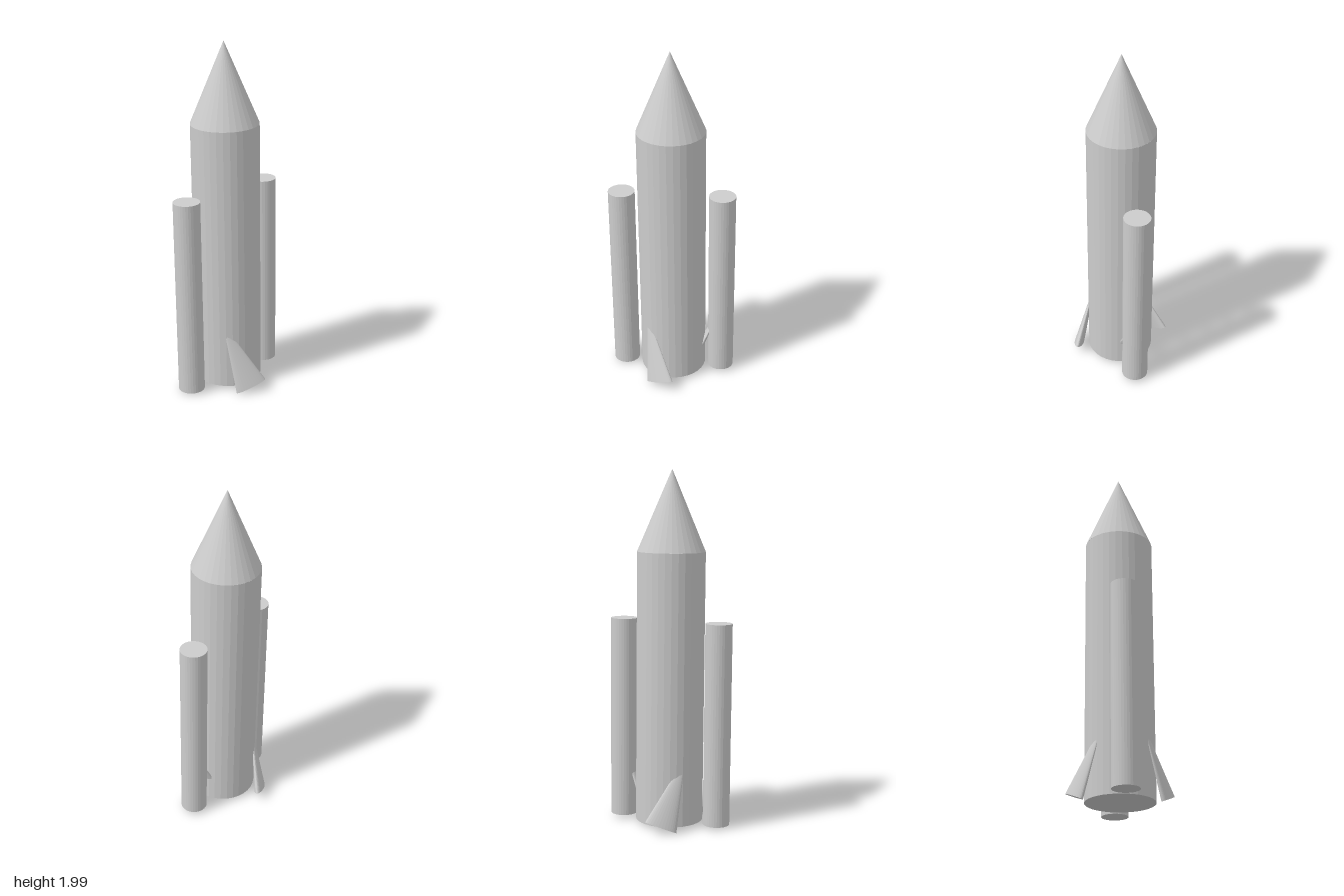
import * as THREE from 'three';

const V = (x, y, z) => new THREE.Vector3(x, y, z);
const SIDES = 32;

export function createModel() {
  const model = new THREE.Group();
  model.name = 'rocket';
  const grey = new THREE.MeshStandardMaterial({ color: 0xcccccc, flatShading: true });
  grey.name = 'light grey';

  // Tapered round part running from point a to point b
  function addRound(name, a, b, bottomRadius, topRadius) {
    const axis = b.clone().sub(a);
    const geometry = topRadius > 0
      ? new THREE.CylinderGeometry(topRadius, bottomRadius, axis.length(), SIDES)
      : new THREE.ConeGeometry(bottomRadius, axis.length(), SIDES);
    const mesh = new THREE.Mesh(geometry, grey);
    mesh.name = name;
    mesh.position.copy(a).add(b).multiplyScalar(0.5);
    mesh.quaternion.setFromUnitVectors(V(0, 1, 0), axis.normalize());
    model.add(mesh);
  }

  // Body and nose, leaning very slightly
  const shoulder = V(-0.014, 1.55, -0.012);
  addRound('body', V(0.005, 0.03, 0), shoulder, 0.19, 0.19);
  addRound('noseCone', shoulder, V(-0.02, 2, -0.015), 0.19, 0);

  // Side boosters, parallel to the body
  addRound('leftBooster', V(0.288, 0.032, -0.001), V(0.274, 1.172, -0.01), 0.075, 0.075);
  addRound('rightBooster', V(-0.28, 0.024, -0.001), V(-0.294, 1.162, -0.01), 0.075, 0.075);

  // Fins: flattened cones, given by centre, axis direction and width direction
  function addFin(name, centre, axis, width) {
    const geometry = new THREE.ConeGeometry(0.092, 0.41, SIDES);
    geometry.scale(1, 1, 0.3);
    const up = axis.normalize();
    const normal = width.clone().cross(up).normalize();
    const across = up.clone().cross(normal);
    const mesh = new THREE.Mesh(geometry, grey);
    mesh.name = name;
    mesh.position.copy(centre);
    mesh.quaternion.setFromRotationMatrix(new THREE.Matrix4().makeBasis(across, up, normal));
    model.add(mesh);
  }
  for (const s of [1, -1]) {
    addFin(s > 0 ? 'frontFin' : 'backFin',
      V(-0.09, 0.232, 0.177 * s), V(-0.225, 0.915, -0.334 * s), V(0.842, 0.38, 0.38 * s));
  }
  addFin('sideFin', V(0.2, 0.232, 0), V(0.407, 0.915, 0), V(0, 0, 1));

  return model;
}
